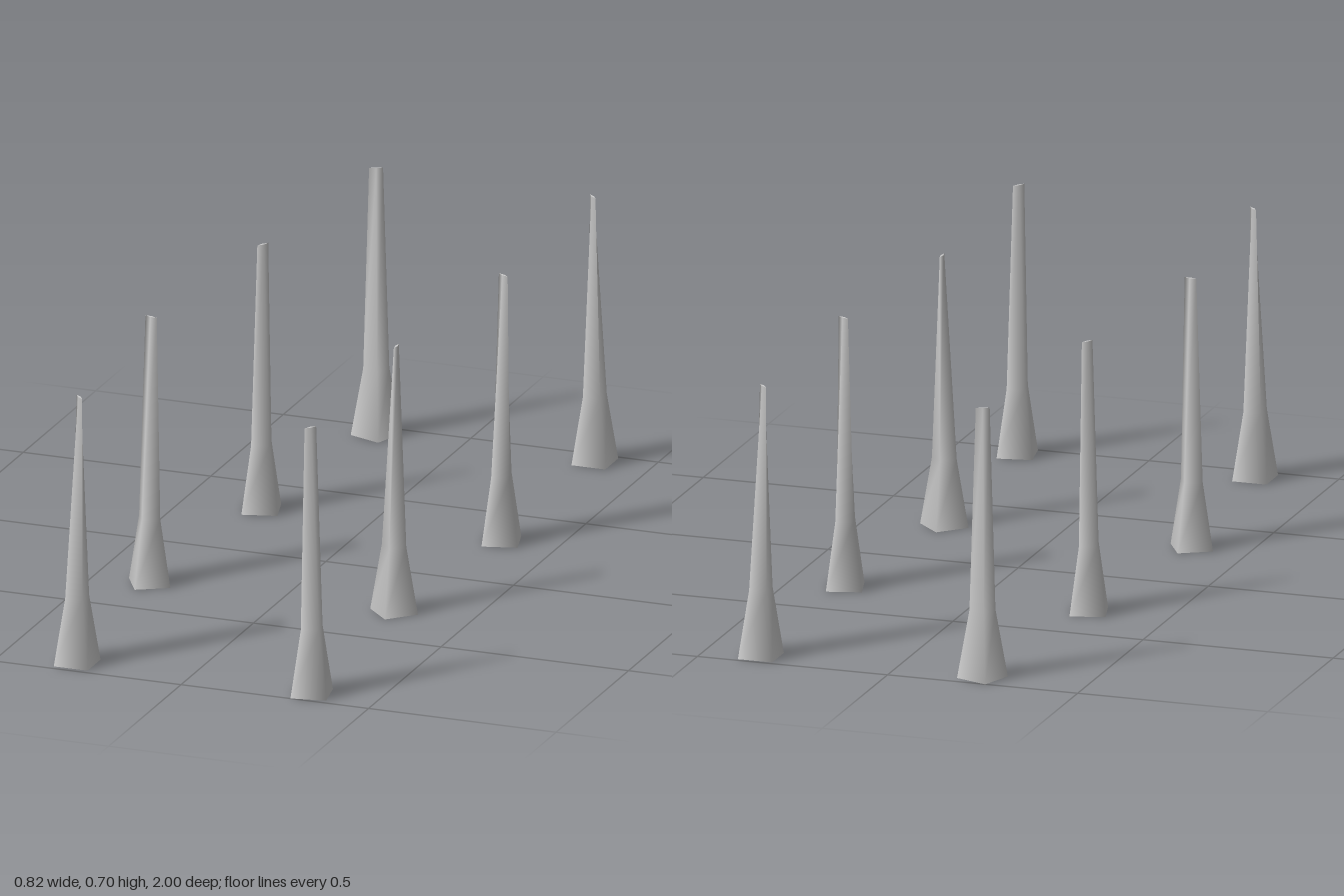
import * as THREE from 'three';

// Four corners of a ring: half-diagonals a (long) and b (short) along the two
// diagonals of the square base, shifted by off along the short one.
function ring(y, a, b, off) {
  const d = Math.SQRT1_2;
  return [[a, 0], [0, b], [-a, 0], [0, -b]].map(([u, v]) => {
    const w = v + off;
    return [(u + w) * d, y, (u - w) * d];
  });
}

// Open-bottomed flared post: square foot, square neck, thin blade-like tip
function postGeometry() {
  const diag = Math.SQRT2;
  const rings = [
    ring(0, 0.045 * diag, 0.045 * diag, 0),
    ring(0.175, 0.023 * diag, 0.023 * diag, 0),
    ring(0.7, 0.0175, 0.0037, 0.006),
  ];
  const index = [];
  for (let r = 0; r < rings.length - 1; r++) {
    for (let i = 0; i < 4; i++) {
      const a = r * 4 + i, b = r * 4 + (i + 1) % 4;
      index.push(a, b, b + 4, a, b + 4, a + 4);
    }
  }
  const geo = new THREE.BufferGeometry();
  geo.setAttribute('position', new THREE.Float32BufferAttribute(rings.flat(2), 3));
  geo.setIndex(index);
  geo.computeVertexNormals();
  return geo;
}

// Tiny cap that closes the tip
function capGeometry() {
  const geo = new THREE.BufferGeometry();
  geo.setAttribute('position', new THREE.Float32BufferAttribute(ring(0.7, 0.0175, 0.0037, 0.006).flat(), 3));
  geo.setIndex([0, 1, 2, 0, 2, 3]);
  geo.computeVertexNormals();
  return geo;
}

export function createModel() {
  const model = new THREE.Group();
  model.name = 'postRows';
  const material = new THREE.MeshStandardMaterial({ color: 0xcccccc, side: THREE.DoubleSide });
  const shaft = postGeometry();
  const cap = capGeometry();

  // x, z and turn in degrees of each post, two rows of four
  const posts = [
    [-0.30, 0.94, 0], [0.328, 0.947, 100],
    [-0.35, 0.31, 30], [0.295, 0.293, -45],
    [-0.292, -0.31, 285], [0.352, -0.30, 15],
    [-0.23, -0.943, 70], [0.352, -0.945, 180],
  ];
  posts.forEach(([x, z, turn], i) => {
    const post = new THREE.Group();
    post.name = `post${i + 1}`;
    const body = new THREE.Mesh(shaft, material);
    body.name = 'shaft';
    const tip = new THREE.Mesh(cap, material);
    tip.name = 'tip';
    post.add(body, tip);
    post.position.set(x, 0, z);
    post.rotation.y = THREE.MathUtils.degToRad(turn);
    model.add(post);
  });
  return model;
}
